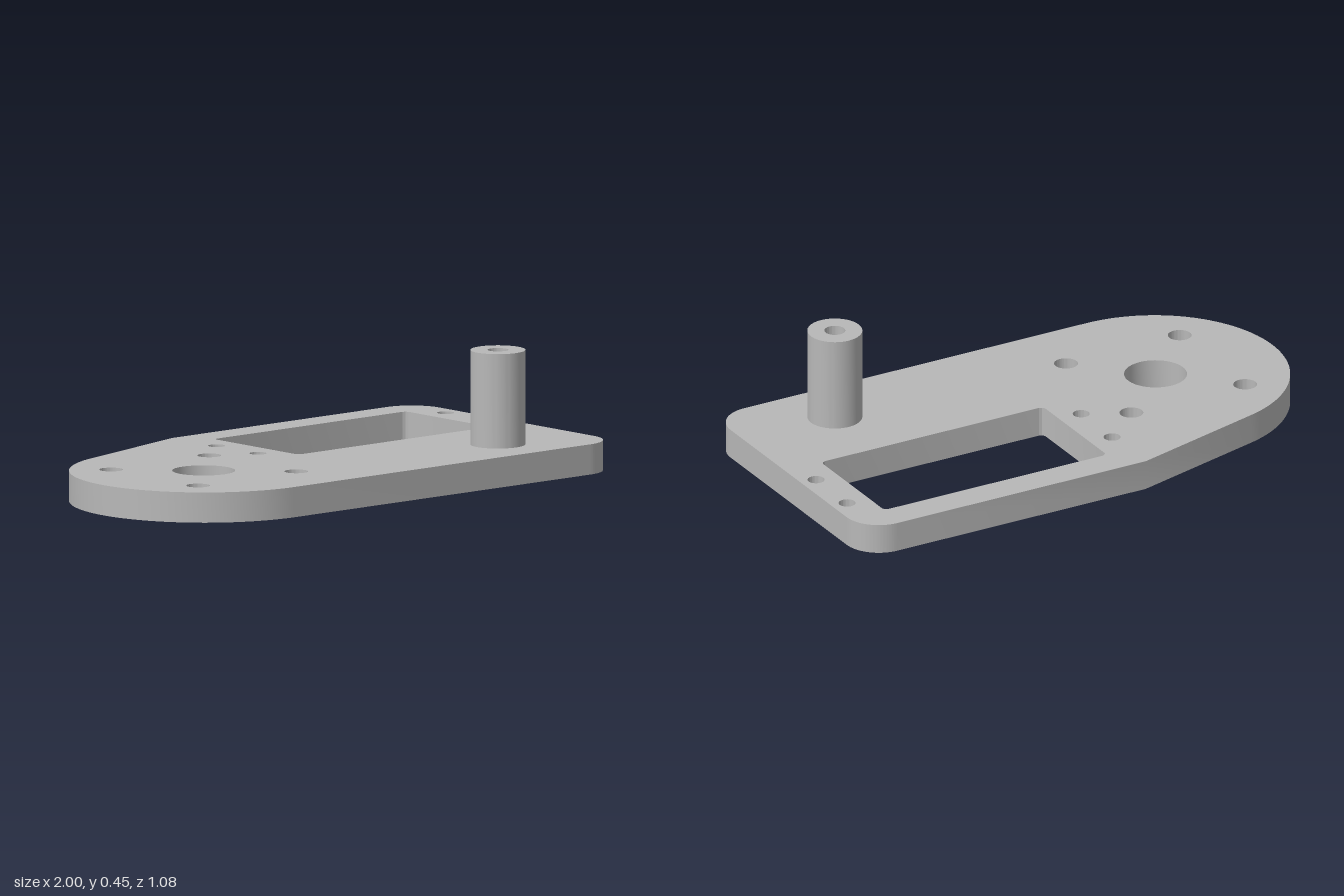
import * as THREE from 'three';
import { toCreasedNormals } from 'three/addons/utils/BufferGeometryUtils.js';

const PLATE_TOP = 0.108;
const BOSS_TOP = 0.445;
const BOSS = { x: 0.628, z: 0.321, radius: 0.097, bore: 0.037 };

// Shapes are drawn in plan, with shape y = -z
function addHole(shape, x, z, r) {
  shape.holes.push(new THREE.Path().absarc(x, -z, r, 0, Math.PI * 2, false));
}

function extrudeUp(shape, y0, y1) {
  const geo = new THREE.ExtrudeGeometry(shape, { depth: y1 - y0, bevelEnabled: false, curveSegments: 32 });
  geo.rotateX(-Math.PI / 2).translate(0, y0, 0);
  return toCreasedNormals(geo, 0.6);
}

function roundedRectPath(x0, x1, y0, y1, r) {
  const h = Math.PI / 2;
  const p = new THREE.Path();
  p.absarc(x1 - r, y0 + r, r, -h, 0, false);
  p.absarc(x1 - r, y1 - r, r, 0, h, false);
  p.absarc(x0 + r, y1 - r, r, h, 2 * h, false);
  p.absarc(x0 + r, y0 + r, r, 2 * h, 3 * h, false);
  p.closePath();
  return p;
}

export function createModel() {
  const group = new THREE.Group();
  const grey = new THREE.MeshStandardMaterial({ color: 0xb8b8b8 });
  grey.name = 'grey';

  // Plate outline: large round end, tapered back edge, two rounded corners
  const h = Math.PI / 2;
  const outline = new THREE.Shape();
  outline.absarc(-0.522, -0.062, 0.478, 1.841, 3 * h, false);
  outline.absarc(0.87, -0.41, 0.13, -h, 0, false);
  outline.absarc(0.87, 0.41, 0.13, 0, h, false);
  outline.lineTo(-0.14, 0.54);
  outline.closePath();

  // Rectangular window and its four screw holes
  outline.holes.push(roundedRectPath(-0.048, 0.856, -0.024, 0.425, 0.02));
  for (const x of [-0.136, 0.941])
    for (const z of [-0.31, -0.091]) addHole(outline, x, z, 0.03);

  // Shaft hole with four mounting holes around it
  addHole(outline, -0.525, 0.06, 0.111);
  for (const sx of [-1, 1])
    for (const sz of [-1, 1]) addHole(outline, -0.525 + sx * 0.231, 0.06 + sz * 0.231, 0.042);

  addHole(outline, BOSS.x, BOSS.z, BOSS.bore);
  const plate = new THREE.Mesh(extrudeUp(outline, 0, PLATE_TOP), grey);
  plate.name = 'plate';
  group.add(plate);

  // Hollow standoff, bored right through the plate
  const ring = new THREE.Shape();
  ring.absarc(BOSS.x, -BOSS.z, BOSS.radius, 0, Math.PI * 2, false);
  addHole(ring, BOSS.x, BOSS.z, BOSS.bore);
  const standoff = new THREE.Mesh(extrudeUp(ring, PLATE_TOP, BOSS_TOP), grey);
  standoff.name = 'standoff';
  group.add(standoff);

  return group;
}
